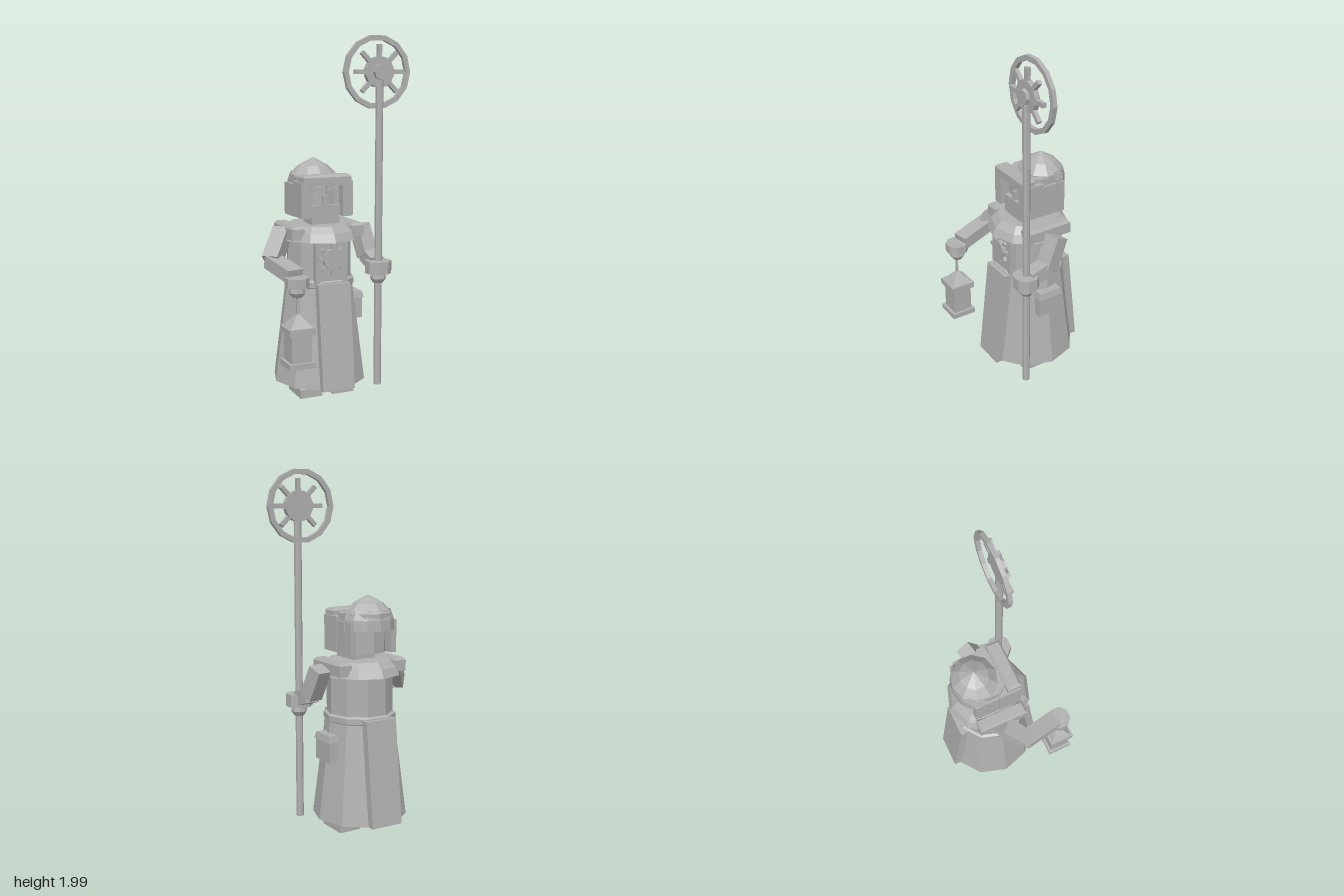
import * as THREE from 'three';

export function createModel() {
  const model = new THREE.Group();
  const stone = new THREE.MeshStandardMaterial({ color: 0xb0b0b0, flatShading: true, side: THREE.DoubleSide });
  stone.name = 'plain grey';
  const CX = -0.055, CZ = -0.06; // body axis

  const add = (name, geo, x = 0, y = 0, z = 0) => {
    const m = new THREE.Mesh(geo, stone);
    m.name = name;
    m.position.set(x, y, z);
    model.add(m);
    return m;
  };
  // box given by its limits, top narrowed by inset
  const box = (name, x0, x1, y0, y1, z0, z1, inset = 0) => {
    const w = x1 - x0, h = y1 - y0, d = z1 - z0;
    const g = new THREE.BoxGeometry(w, h, d);
    const p = g.attributes.position;
    for (let i = 0; i < p.count; i++) {
      if (p.getY(i) > 0) {
        p.setX(i, p.getX(i) * (1 - 2 * inset / w));
        p.setZ(i, p.getZ(i) * (1 - 2 * inset / d));
      }
    }
    return add(name, g, (x0 + x1) / 2, (y0 + y1) / 2, (z0 + z1) / 2);
  };
  // faceted turned part with an oval section
  const turned = (name, profile, sides, x, z, depth = 1, start = 0, sweep = Math.PI * 2) => {
    const g = new THREE.LatheGeometry(profile.map(([r, y]) => new THREE.Vector2(r, y)), sides, start, sweep);
    g.scale(1, 1, depth);
    return add(name, g, x, 0, z);
  };
  // square bar between two points
  const limb = (name, a, b, w, h) => {
    const from = new THREE.Vector3(...a), to = new THREE.Vector3(...b);
    const m = add(name, new THREE.BoxGeometry(w, h, from.distanceTo(to)));
    m.position.copy(from).add(to).multiplyScalar(0.5);
    m.lookAt(to);
    return m;
  };
  const disc = (name, r, depth, sides, x, y, z) => {
    const g = new THREE.CylinderGeometry(r, r, depth, sides);
    g.rotateX(Math.PI / 2);
    return add(name, g, x, y, z);
  };
  const spokes = (name, count, r0, r1, w, depth, x, y, z) => {
    for (let i = 0; i < count; i++) {
      const a = i * Math.PI * 2 / count, r = (r0 + r1) / 2;
      add(name, new THREE.BoxGeometry(r1 - r0, w, depth), x + r * Math.cos(a), y + r * Math.sin(a), z).rotation.z = a;
    }
  };

  // feet and legs
  for (const x of [CX - 0.097, CX + 0.097]) {
    box('foot', x - 0.066, x + 0.066, 0, 0.05, -0.12, 0.065);
    box('footTop', x - 0.066, x + 0.066, 0.05, 0.07, -0.12, 0.065, 0.015);
    box('leg', x - 0.048, x + 0.048, 0.06, 0.6, -0.1, 0.02);
  }

  // robe skirt with sloping front and back panels
  turned('skirt', [[0.262, 0.08], [0.19, 0.65], [0.0, 0.65]], 10, CX, CZ, 1.03, Math.PI / 10);
  for (const s of [1, -1]) {
    const g = new THREE.BoxGeometry(0.19, 0.58, 0.045);
    const p = g.attributes.position;
    for (let i = 0; i < p.count; i++) {
      const out = p.getY(i) < 0 ? 0.262 : 0.197;
      p.setZ(i, s * out + p.getZ(i));
    }
    add(s > 0 ? 'frontPanel' : 'backPanel', g, CX, 0.37, CZ);
  }

  // torso, belt and chest plate
  turned('torso', [[0.185, 0.64], [0.185, 0.9], [0, 0.9]], 10, CX, CZ, 0.98, Math.PI / 10);
  turned('belt', [[0.185, 0.625], [0.2, 0.635], [0.2, 0.665], [0.185, 0.675]], 10, CX, CZ, 1.03, Math.PI / 10);
  box('chestPlate', CX - 0.095, CX + 0.095, 0.65, 0.9, 0.07, 0.125);
  disc('emblem', 0.058, 0.03, 12, CX, 0.795, 0.135);
  spokes('emblemRay', 8, 0.055, 0.085, 0.018, 0.02, CX, 0.795, 0.133);

  // shoulder cape and straps
  turned('cape', [[0.17, 0.89], [0.226, 0.89], [0.205, 0.935], [0.17, 0.97], [0, 0.975]], 10, CX, CZ, 1.06);
  for (const s of [1, -1]) {
    const x = CX + s * 0.176;
    box('shoulderStrap', x - 0.038, x + 0.038, 0.9, 0.96, -0.2, 0.08);
    box('shoulderStrapTop', x - 0.038, x + 0.038, 0.96, 0.975, -0.2, 0.08, 0.012);
  }

  // head, face and beard
  box('neck', CX - 0.07, CX + 0.07, 0.95, 1.02, -0.11, 0.0);
  turned('backOfHead', [[0, 1.01], [0.14, 1.01], [0.14, 1.23], [0, 1.23]], 10, CX, -0.085, 0.84);
  box('face', CX - 0.095, CX + 0.095, 1.0, 1.2, -0.12, 0.015);
  box('beard', CX - 0.083, CX + 0.083, 0.975, 1.08, -0.05, 0.045);
  box('nose', CX - 0.016, CX + 0.016, 1.075, 1.13, 0, 0.04);
  for (const s of [1, -1]) {
    box('eyebrow', CX + s * 0.045 - 0.03, CX + s * 0.045 + 0.03, 1.155, 1.175, 0, 0.03);
    box('hoodSide', CX + s * 0.123 - 0.03, CX + s * 0.123 + 0.03, 1.015, 1.21, -0.06, 0.065);
    box('hoodRear', CX + s * 0.13 - 0.018, CX + s * 0.13 + 0.018, 1.01, 1.19, -0.2, -0.055);
  }
  box('hoodBrow', CX - 0.142, CX + 0.142, 1.19, 1.235, -0.01, 0.072);
  box('hoodBrowTop', CX - 0.142, CX + 0.142, 1.235, 1.248, -0.01, 0.072, 0.012);

  // faceted helmet dome with neck guard
  turned('helmet', [[0.135, 1.19], [0.135, 1.235], [0.085, 1.285], [0, 1.33]], 10, CX, -0.14, 0.92);
  turned('neckGuard', [[0.152, 1.14], [0.148, 1.2], [0.13, 1.25]], 6, CX, -0.14, 0.85, Math.PI / 2, Math.PI);

  // arms
  limb('rightUpperArm', [-0.265, 0.93, -0.075], [-0.37, 0.79, 0.035], 0.09, 0.09);
  limb('rightForearm', [-0.365, 0.79, 0.02], [-0.316, 0.745, 0.24], 0.095, 0.07);
  limb('leftUpperArm', [0.205, 0.935, -0.075], [0.222, 0.77, 0.0], 0.09, 0.085);
  limb('leftForearm', [0.222, 0.78, -0.01], [0.222, 0.74, 0.11], 0.08, 0.08);
  const hand = (name, x, z, r, top) => turned(name,
    [[0, 0.64], [0.028, 0.64], [0.045, 0.665], [0.04, 0.695], [r, 0.695], [r, top], [0, top]], 8, x, z, 1, Math.PI / 8);
  hand('leftHand', 0.222, 0.135, 0.074, 0.765);
  hand('rightHand', -0.317, 0.267, 0.066, 0.745);

  // lantern
  const LX = -0.317, LZ = 0.273;
  box('lanternRod', LX - 0.006, LX + 0.006, 0.53, 0.65, LZ - 0.006, LZ + 0.006);
  box('lanternRoof', LX - 0.06, LX + 0.06, 0.485, 0.55, LZ - 0.06, LZ + 0.06, 0.053);
  box('lanternTop', LX - 0.072, LX + 0.072, 0.45, 0.485, LZ - 0.072, LZ + 0.072);
  box('lanternBody', LX - 0.056, LX + 0.056, 0.3, 0.45, LZ - 0.056, LZ + 0.056);
  box('lanternBase', LX - 0.072, LX + 0.072, 0.27, 0.3, LZ - 0.072, LZ + 0.072);

  // belt pouch with flap
  box('pouch', 0.12, 0.182, 0.415, 0.54, -0.13, 0.018);
  box('pouchFlap', 0.11, 0.19, 0.53, 0.567, -0.133, 0.022, 0.008);

  // staff with wheel head
  const SX = 0.222, SY = 1.8;
  turned('staff', [[0, 0.05], [0.021, 0.05], [0.021, 1.76], [0, 1.76]], 8, SX, 0.135, 1, Math.PI / 8);
  const rim = new THREE.Shape().absarc(0, 0, 0.2, 0, Math.PI * 2);
  rim.holes.push(new THREE.Path().absarc(0, 0, 0.172, 0, Math.PI * 2, true));
  const rimGeo = new THREE.ExtrudeGeometry(rim, { depth: 0.023, bevelEnabled: false, curveSegments: 7 });
  add('wheelRim', rimGeo, SX, SY, 0.089);
  disc('wheelDisc', 0.085, 0.03, 14, SX, SY, 0.127);
  disc('wheelHub', 0.043, 0.022, 8, SX, SY, 0.151);
  spokes('wheelSpoke', 8, 0.075, 0.148, 0.024, 0.022, SX, SY, 0.129);

  return model;
}
